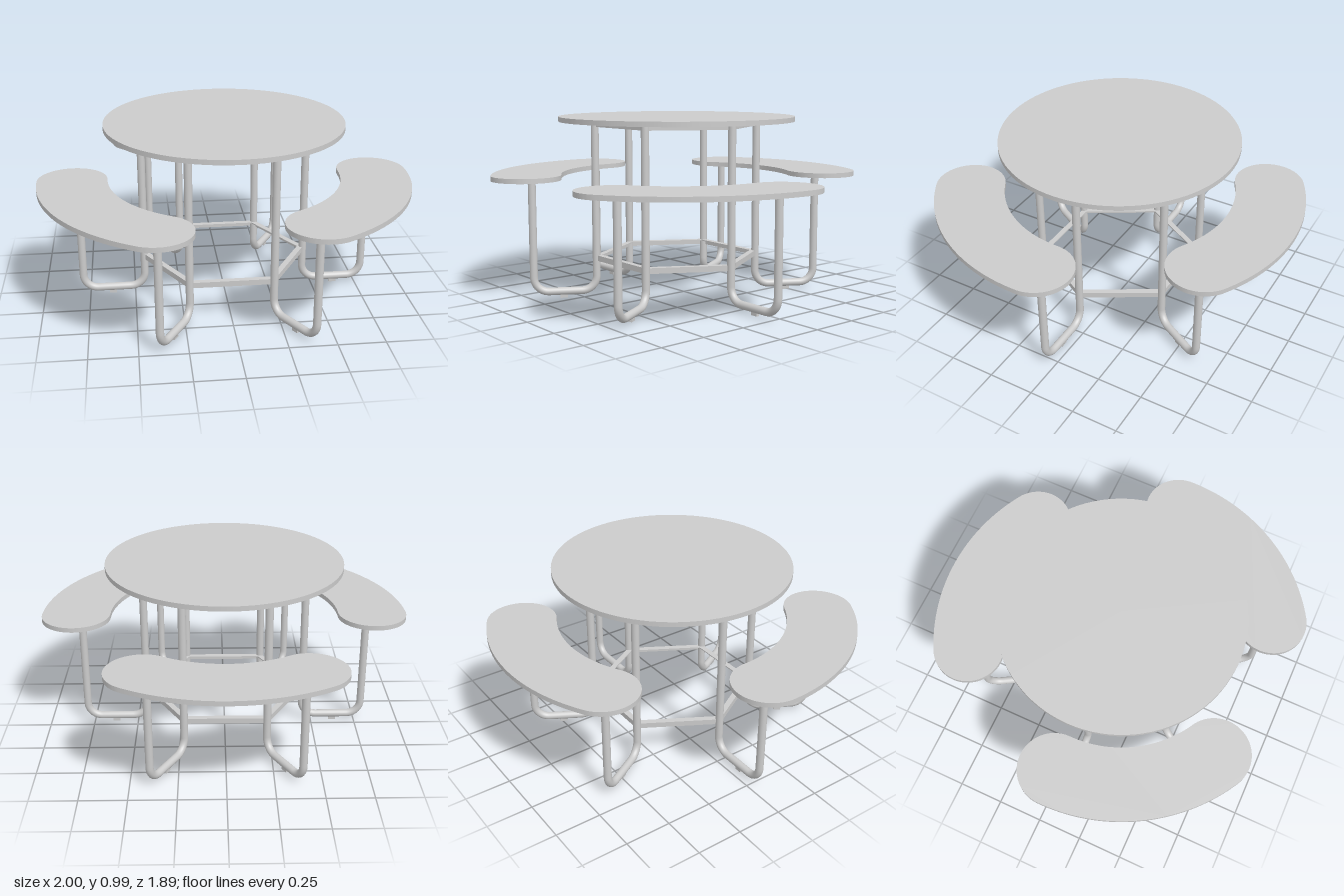
import * as THREE from 'three';
import { toCreasedNormals } from 'three/addons/utils/BufferGeometryUtils.js';

const TUBE = 0.021, INNER = 0.445, OUTER = 0.785, FLOOR = 0.036, BEND = 0.08;

const v = (x, y) => new THREE.Vector3(x, y, 0);

// U-shaped leg: down from the table top, along the ground, up to a seat
function legGeometry() {
  const k = BEND * 0.4477; // quarter-circle handles
  const path = new THREE.CurvePath();
  path.add(new THREE.LineCurve3(v(INNER, 0.965), v(INNER, FLOOR + BEND)));
  path.add(new THREE.CubicBezierCurve3(v(INNER, FLOOR + BEND), v(INNER, FLOOR + k),
    v(INNER + k, FLOOR), v(INNER + BEND, FLOOR)));
  path.add(new THREE.LineCurve3(v(INNER + BEND, FLOOR), v(OUTER - BEND, FLOOR)));
  path.add(new THREE.CubicBezierCurve3(v(OUTER - BEND, FLOOR), v(OUTER - k, FLOOR),
    v(OUTER, FLOOR + k), v(OUTER, FLOOR + BEND)));
  path.add(new THREE.LineCurve3(v(OUTER, FLOOR + BEND), v(OUTER, 0.66)));
  return new THREE.TubeGeometry(path, 140, TUBE, 20, false);
}

// Curved bench: an arc band with round ends, facing the back
function seatGeometry() {
  const mid = 0.813, r = 0.187, half = THREE.MathUtils.degToRad(30.5);
  const a0 = Math.PI / 2 - half, a1 = Math.PI / 2 + half;
  const s = new THREE.Shape();
  s.absarc(0, 0, mid + r, a0, a1, false);
  s.absarc(mid * Math.cos(a1), mid * Math.sin(a1), r, a1, a1 + Math.PI, false);
  s.absarc(0, 0, mid - r, a1, a0, true);
  s.absarc(mid * Math.cos(a0), mid * Math.sin(a0), r, a0 + Math.PI, a0 + 2 * Math.PI, false);
  const g = new THREE.ExtrudeGeometry(s, { depth: 0.026, bevelEnabled: false, curveSegments: 32 });
  g.rotateX(-Math.PI / 2);
  return toCreasedNormals(g, 0.6);
}

// Hexagonal ring of angle iron: flange on top, web on the outside
function ringGeometry() {
  const R = 0.45, w = 0.036, h = 0.03, t = 0.006;
  const profile = [[R - t, 0], [R, 0], [R, h], [R - w, h], [R - w, h - t], [R - t, h - t], [R - t, 0]]
    .map(([x, y]) => new THREE.Vector2(x, y));
  const g = new THREE.LatheGeometry(profile, 6, Math.PI / 6).toNonIndexed();
  g.computeVertexNormals();
  return g;
}

export function createModel() {
  const model = new THREE.Group();
  model.name = 'picnicTable';
  const table = new THREE.Group();
  table.name = 'tableAndSeats';
  table.position.z = 0.05;
  model.add(table);

  const grey = new THREE.MeshStandardMaterial({ color: 0xcccccc });
  const tubeGrey = new THREE.MeshStandardMaterial({ color: 0xcccccc, side: THREE.DoubleSide });
  const add = (name, geometry, y = 0, parent = table, material = grey) => {
    const mesh = new THREE.Mesh(geometry, material);
    mesh.name = name;
    mesh.position.y = y;
    parent.add(mesh);
    return mesh;
  };

  // Round table top
  add('tableTop', new THREE.CylinderGeometry(0.638, 0.638, 0.026, 96), 0.972);

  // Three benches
  const seat = seatGeometry();
  for (let i = 0; i < 3; i++) add('seat', seat, 0.65).rotation.y = (i * 2 * Math.PI) / 3;

  // Six legs, each with a small foot plate
  const leg = legGeometry();
  const foot = new THREE.BoxGeometry(0.04, 0.022, 0.018);
  for (let i = 0; i < 6; i++) {
    const unit = new THREE.Group();
    unit.name = 'legUnit';
    unit.rotation.y = (i * Math.PI) / 3;
    add('leg', leg, 0, unit, tubeGrey);
    add('foot', foot, 0.011, unit).position.x = 0.625;
    table.add(unit);
  }

  // Brace rings tying the legs together
  const ring = ringGeometry();
  add('upperBrace', ring, 0.929);
  add('lowerBrace', ring, 0.2);

  return model;
}
